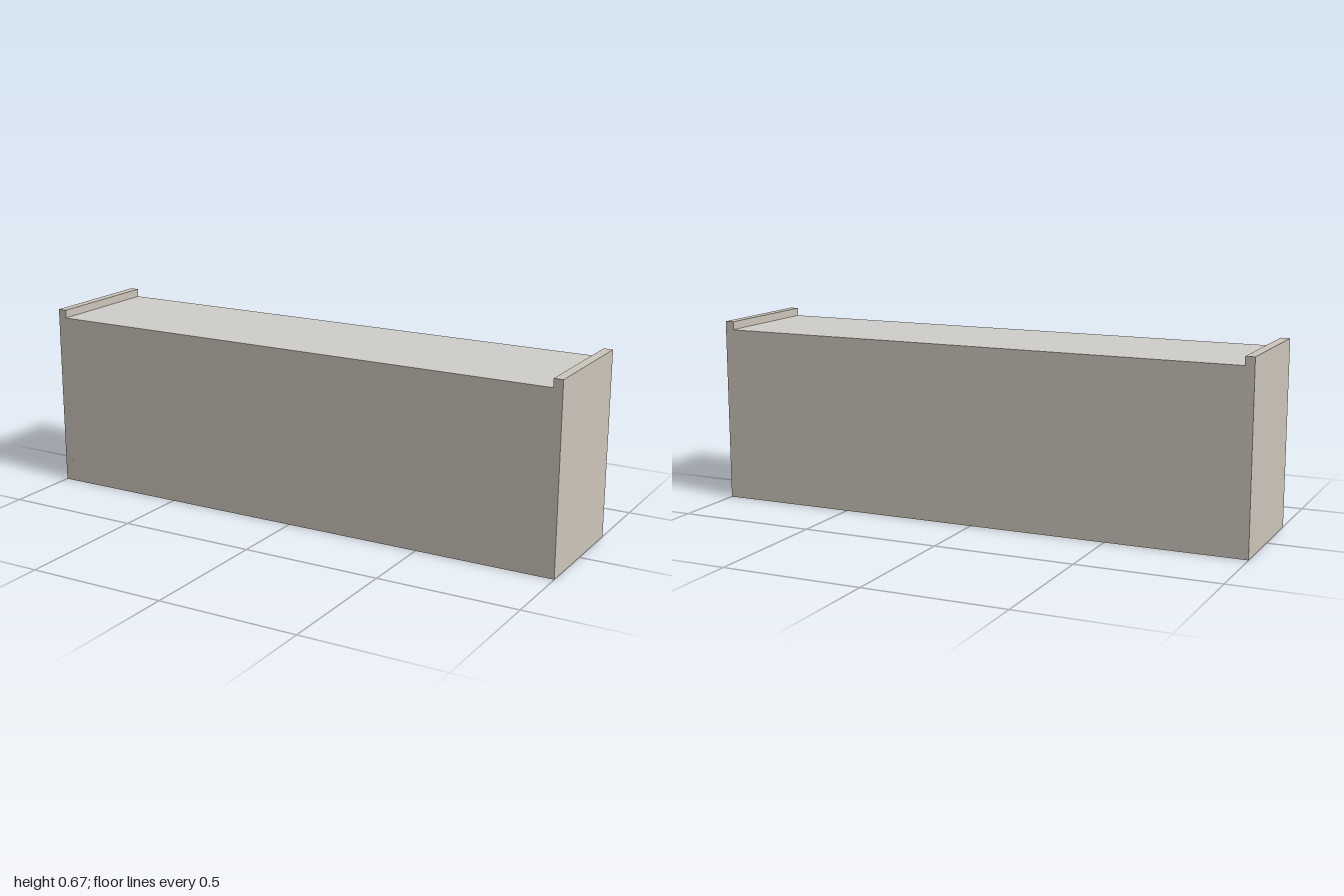
import * as THREE from 'three';

const T = 0.033;      // board thickness
const D = 0.445;      // depth
const H = 0.667;      // height of the end boards
const TOP = 0.637;    // height of the top surface
const INNER = 2 - 2 * T;

export function createModel() {
  const group = new THREE.Group();
  const bodyMat = new THREE.MeshStandardMaterial({ color: 0xccc5ba });
  const topMat = new THREE.MeshStandardMaterial({ color: 0xcfcec9 });

  const board = (name, w, h, d, x, y, z) => {
    const mesh = new THREE.Mesh(new THREE.BoxGeometry(w, h, d), bodyMat);
    mesh.name = name;
    mesh.position.set(x, y, z);
    group.add(mesh);
  };

  // End boards, rising above the top as low lips
  board('leftEnd', T, H, D, 1 - T / 2, H / 2, 0);
  board('rightEnd', T, H, D, -1 + T / 2, H / 2, 0);

  // Lengthwise walls and central divider, open at the bottom
  const wallH = TOP - T;
  board('frontWall', INNER, TOP, T, 0, TOP / 2, D / 2 - T / 2);
  board('backWall', INNER, TOP, T, 0, TOP / 2, -D / 2 + T / 2);
  board('divider', INNER, wallH, T, 0, wallH / 2, 0);

  // Top board closing the two channels
  board('topBoard', INNER, T, D - 2 * T, 0, TOP - T / 2, 0);

  // Lighter facing over the whole top
  const facing = new THREE.Mesh(new THREE.PlaneGeometry(INNER, D), topMat);
  facing.name = 'topFacing';
  facing.rotation.x = -Math.PI / 2;
  facing.position.y = TOP + 0.001;
  group.add(facing);

  return group;
}
